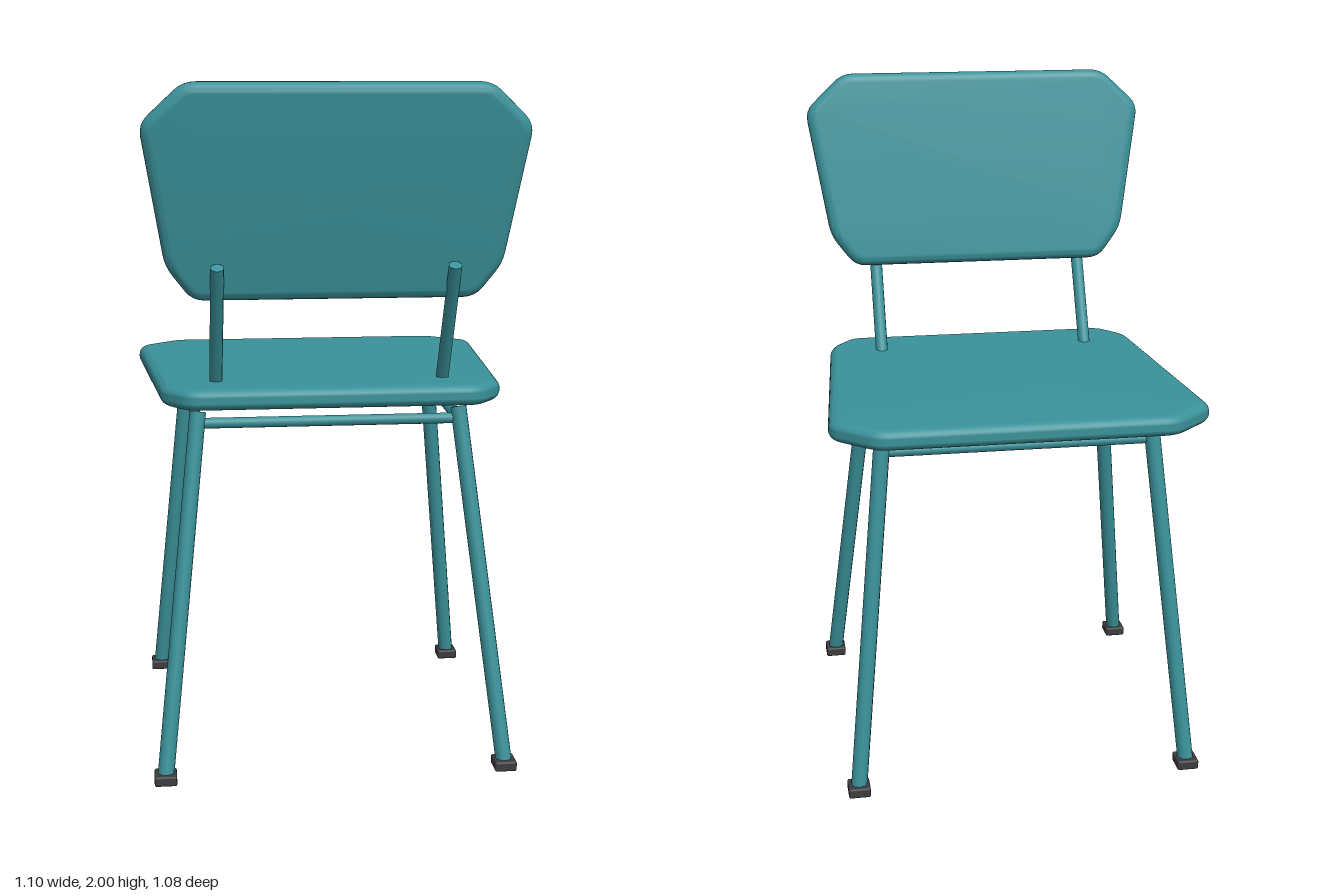
import * as THREE from 'three';
import { toCreasedNormals } from 'three/addons/utils/BufferGeometryUtils.js';
import { RoundedBoxGeometry } from 'three/addons/geometries/RoundedBoxGeometry.js';

const teal = new THREE.MeshStandardMaterial({ color: 0x3a929a });
const dark = new THREE.MeshStandardMaterial({ color: 0x3c3c40 });
const THICK = 0.06;

function add(parent, name, geometry, material = teal) {
  const mesh = new THREE.Mesh(geometry, material);
  mesh.name = name;
  parent.add(mesh);
  return mesh;
}

// Straight round bar between two points
function addBar(parent, name, a, b, radius, sides = 12) {
  const from = new THREE.Vector3(...a), to = new THREE.Vector3(...b);
  const dir = to.clone().sub(from);
  const bar = add(parent, name, new THREE.CylinderGeometry(radius, radius, dir.length(), sides));
  bar.position.copy(from).lerp(to, 0.5);
  bar.quaternion.setFromUnitVectors(new THREE.Vector3(0, 1, 0), dir.normalize());
  return bar;
}

// Pillow-edged slab: half outline (+x side, ordered by rising y) mirrored, corners softened
function slab(half, soft = 0.035) {
  const pts = [...half, ...half.map(([x, y]) => [-x, y]).reverse()].map(p => new THREE.Vector2(...p));
  const shape = new THREE.Shape();
  pts.forEach((p, i) => {
    const prev = pts[(i + pts.length - 1) % pts.length], next = pts[(i + 1) % pts.length];
    const a = prev.clone().sub(p).setLength(soft).add(p);
    const b = next.clone().sub(p).setLength(soft).add(p);
    if (i === 0) shape.moveTo(a.x, a.y); else shape.lineTo(a.x, a.y);
    shape.quadraticCurveTo(p.x, p.y, b.x, b.y);
  });
  shape.closePath();
  const r = THICK / 2;
  const geo = new THREE.ExtrudeGeometry(shape, {
    depth: 0.004, bevelThickness: r - 0.002, bevelSize: r - 0.002, bevelOffset: -r + 0.002,
    bevelSegments: 6, curveSegments: 4,
  });
  geo.translate(0, 0, -0.002);
  return toCreasedNormals(geo, 0.7);
}

export function createModel() {
  const chair = new THREE.Group();
  chair.name = 'chair';

  // Seat, wider at the front (-z)
  const seatGeo = slab([[0.43, -0.54], [0.555, -0.425], [0.492, 0.365], [0.42, 0.46]]);
  seatGeo.rotateX(Math.PI / 2);
  const seat = add(chair, 'seat', seatGeo);
  seat.position.y = 1.116;
  seat.rotation.x = -0.01;

  // Leaning backrest, narrower at the bottom
  const back = add(chair, 'backrest', slab([[0.40, -0.304], [0.475, -0.205], [0.54, 0.19], [0.42, 0.304]]));
  back.position.set(0, 1.70, 0.459);
  back.rotation.x = 0.173;

  // Leg tops and feet, at rear (+z) and front (-z)
  const ends = [
    { name: 'rear', topX: 0.385, topZ: 0.275, footZ: 0.485 },
    { name: 'front', topX: 0.397, topZ: -0.348, footZ: -0.478 },
  ];
  const railY = 1.02;
  for (const [side, s] of [['left', 1], ['right', -1]]) {
    for (const e of ends) {
      addBar(chair, `${e.name} ${side} leg`, [s * 0.5, 0.015, e.footZ], [s * e.topX, 1.055, e.topZ], 0.024);
      const foot = add(chair, `${e.name} ${side} foot`, new RoundedBoxGeometry(0.065, 0.03, 0.07, 2, 0.006), dark);
      foot.position.set(s * 0.5, 0.015, e.footZ);
    }
    // Side rail under the seat and post carrying the backrest
    const [r, f] = ends;
    addBar(chair, `${side} rail`, [s * r.topX, railY, r.topZ], [s * f.topX, railY, f.topZ], 0.016);
    addBar(chair, `${side} backrest post`, [s * 0.332, 1.12, 0.277], [s * 0.332, 1.497, 0.474], 0.019);
  }

  // Cross rails
  for (const e of ends) {
    addBar(chair, `${e.name} rail`, [-e.topX, railY, e.topZ], [e.topX, railY, e.topZ], 0.016);
  }
  return chair;
}
